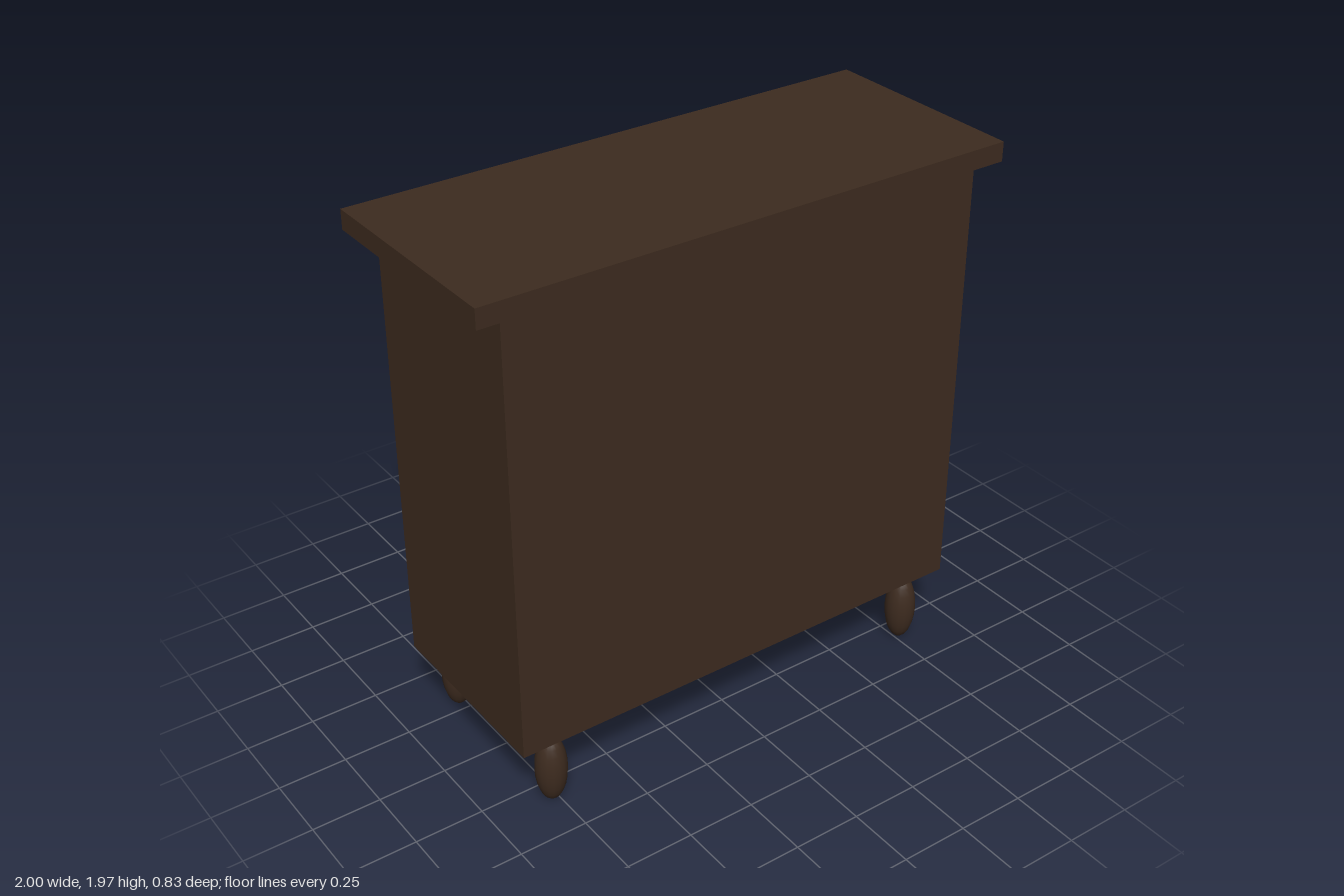
import * as THREE from 'three';

export function createModel() {
  const group = new THREE.Group();
  group.name = 'chestOfDrawers';
  const wood = new THREE.MeshStandardMaterial({ color: 0x3d2b1f });
  wood.name = 'dark wood';

  const add = (name, geometry, x, y, z) => {
    const mesh = new THREE.Mesh(geometry, wood);
    mesh.name = name;
    mesh.position.set(x, y, z);
    group.add(mesh);
    return mesh;
  };

  // Slab with softened edges, its raised face towards -z
  const bevelledSlab = (w, h, d, b) => {
    const x = w / 2 - b, y = h / 2 - b;
    const shape = new THREE.Shape([
      new THREE.Vector2(-x, -y), new THREE.Vector2(x, -y),
      new THREE.Vector2(x, y), new THREE.Vector2(-x, y),
    ]);
    return new THREE.ExtrudeGeometry(shape, {
      depth: d - 2 * b, bevelEnabled: true, bevelThickness: b, bevelSize: b, bevelSegments: 2,
    }).translate(0, 0, b - d / 2);
  };

  // Carcass and overhanging top
  add('body', new THREE.BoxGeometry(1.81, 1.62, 0.728), 0, 1.088, 0.02);
  add('top', new THREE.BoxGeometry(2, 0.07, 0.8), 0, 1.932, 0.015);

  // Egg-shaped feet
  const foot = new THREE.SphereGeometry(1, 16, 12).scale(0.057, 0.136, 0.057);
  for (const x of [-0.77, 0.77])
    for (const z of [-0.293, 0.327]) add('foot', foot, x, 0.136, z);

  // Four drawers, each with a raised panel and two bar handles
  const drawer = bevelledSlab(1.68, 0.326, 0.05, 0.008);
  const panel = bevelledSlab(1.54, 0.266, 0.02, 0.004);
  const handle = new THREE.CylinderGeometry(0.01, 0.01, 0.13, 10).rotateZ(Math.PI / 2);
  for (let i = 0; i < 4; i++) {
    const y = 0.564 + i * 0.3715;
    add('drawer', drawer, 0, y, -0.36);
    add('drawerPanel', panel, 0, y, -0.384);
    for (const x of [-0.463, 0.463]) add('handle', handle, x, y, -0.405);
  }
  return group;
}
